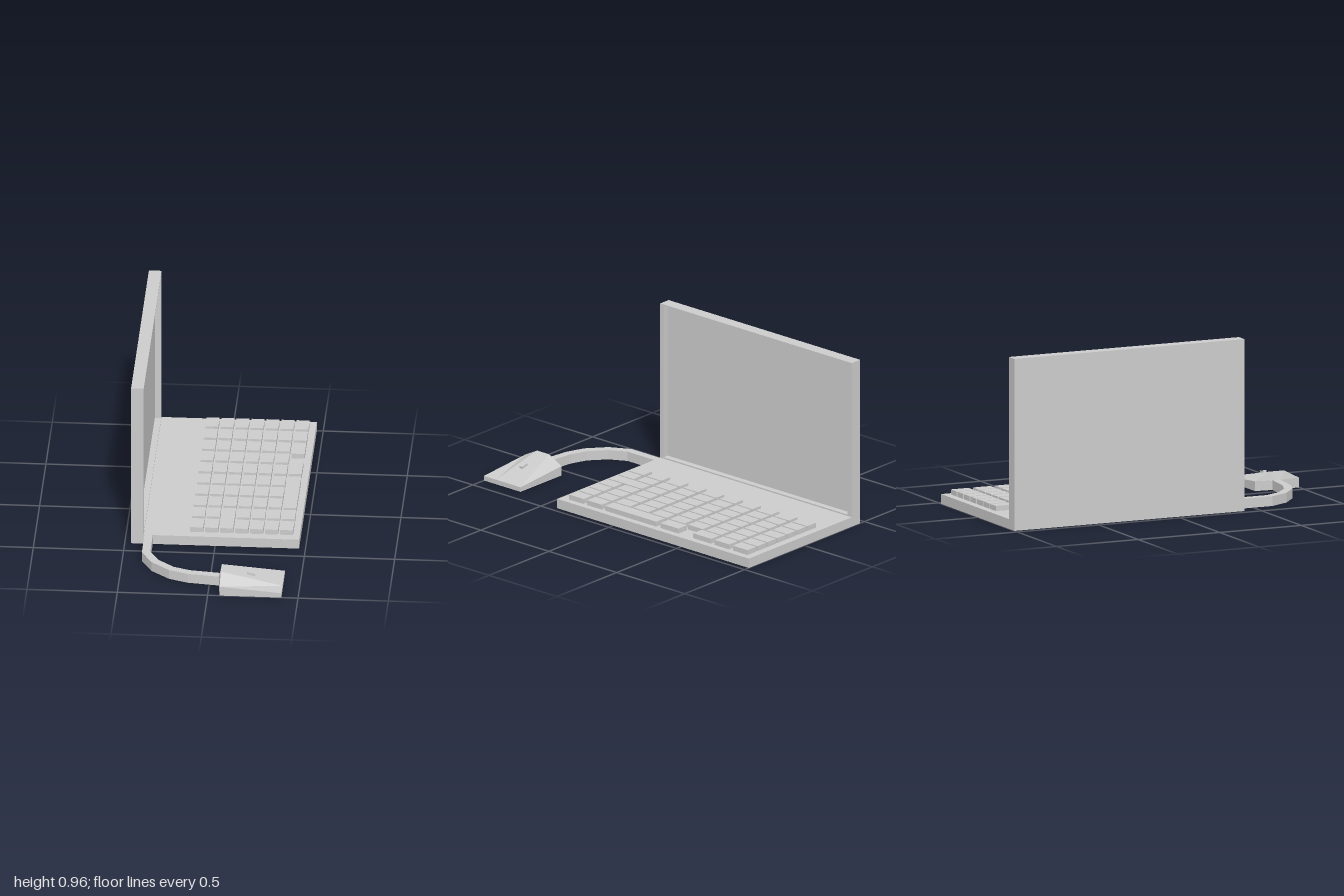
import * as THREE from 'three';

const material = new THREE.MeshStandardMaterial({ color: 0xcccccc, flatShading: true });

function add(group, name, geometry) {
  const mesh = new THREE.Mesh(geometry, material);
  mesh.name = name;
  group.add(mesh);
  return mesh;
}

// Box given by its limits on each axis
function box(group, name, x0, x1, y0, y1, z0, z1) {
  const mesh = add(group, name, new THREE.BoxGeometry(x1 - x0, y1 - y0, z1 - z0));
  mesh.position.set((x0 + x1) / 2, (y0 + y1) / 2, (z0 + z1) / 2);
  return mesh;
}

// Solid through matching closed sections; each section is a list of [x, y, z]
function loft(sections) {
  const n = sections[0].length, pos = sections.flat(2), index = [];
  for (let s = 0; s < sections.length - 1; s++) {
    for (let i = 0; i < n; i++) {
      const a = s * n + i, b = s * n + (i + 1) % n;
      index.push(a, b, a + n, b, b + n, a + n);
    }
  }
  const last = (sections.length - 1) * n;
  for (let i = 1; i < n - 1; i++) {
    index.push(0, i + 1, i, last, last + i, last + i + 1);
  }
  const g = new THREE.BufferGeometry();
  g.setAttribute('position', new THREE.Float32BufferAttribute(pos, 3));
  g.setIndex(index);
  const flat = g.toNonIndexed();
  flat.computeVertexNormals();
  return flat;
}

function rect(PathType, x0, x1, y0, y1) {
  return new PathType([[x0, y0], [x1, y0], [x1, y1], [x0, y1]].map(p => new THREE.Vector2(...p)));
}

function createKeyboard() {
  const keys = new THREE.Group();
  keys.name = 'keyboard';
  const pitchX = 0.083, pitchZ = 0.134, length = 0.108;
  const key = (col, z0, z1) => {
    const x = -0.142 + col * pitchX;
    box(keys, 'key', x, x + 0.072, 0.054, 0.084, z0, z1);
  };
  for (let row = 0; row < 10; row++) {
    const z = -0.958 + row * pitchZ;
    for (let col = 0; col < 7; col++) {
      if (col === 6 && row >= 2 && row <= 7) continue;
      if (col === 2 && row >= 8) continue;
      key(col, z, z + length);
    }
  }
  // Longer keys
  key(6, -0.69, -0.558);
  key(6, -0.45, -0.317);
  key(6, -0.286, 0.09);
  key(2, 0.114, 0.356);
  return keys;
}

function createCable() {
  const path = [[-0.368, 0.405], [-0.368, 0.612], [-0.312, 0.717], [-0.214, 0.8], [-0.116, 0.836], [0.06, 0.858]]
    .map(p => new THREE.Vector2(...p));
  const half = 0.023;
  // Mitred rectangular section at every bend
  const sections = path.map((p, i) => {
    const d0 = p.clone().sub(path[Math.max(i - 1, 0)]).normalize();
    const d1 = path[Math.min(i + 1, path.length - 1)].clone().sub(p).normalize();
    const d = d0.clone().add(d1).normalize();
    const w = half / d.dot(i ? d0 : d1);
    const sx = d.y * w, sz = -d.x * w;
    return [
      [p.x - sx, 0, p.y - sz], [p.x + sx, 0, p.y + sz],
      [p.x + sx, 0.055, p.y + sz], [p.x - sx, 0.055, p.y - sz],
    ];
  });
  return loft(sections);
}

function createMouse() {
  const mouse = new THREE.Group();
  mouse.name = 'mouse';
  const section = (x, z0, z1, z2, z3, side, top) => [
    [x, 0, z0], [x, side, z0], [x, top, z1], [x, top, z2], [x, side, z3], [x, 0, z3],
  ].reverse();
  // Cable end, humped back, then a low straight front edge
  add(mouse, 'mouseBody', loft([
    section(0.055, 0.835, 0.85, 0.88, 0.895, 0.054, 0.055),
    section(0.066, 0.73, 0.82, 0.91, 1, 0.055, 0.1025),
    section(0.408, 0.73, 0.82, 0.91, 1, 0.027, 0.0272),
  ].map(s => s.reverse())));
  const wheel = add(mouse, 'scrollWheel', new THREE.BoxGeometry(0.046, 0.024, 0.02));
  wheel.position.set(0.231, 0.067, 0.862);
  wheel.rotation.z = -0.217;
  return mouse;
}

export function createModel() {
  const model = new THREE.Group();
  model.name = 'laptopWithMouse';

  box(model, 'base', -0.395, 0.465, 0, 0.055, -1, 0.41);

  // Upright lid: back panel and a bezel around the recessed screen
  box(model, 'screenPanel', -0.465, -0.43, 0, 0.965, -1, 0.41);
  const frame = rect(THREE.Shape, -0.41, 1, 0, 0.965);
  frame.holes.push(rect(THREE.Path, -0.385, 0.97, 0.063, 0.957));
  const bezel = add(model, 'screenBezel',
    new THREE.ExtrudeGeometry(frame, { depth: 0.035, bevelEnabled: false }).rotateY(Math.PI / 2));
  bezel.position.x = -0.43;

  model.add(createKeyboard());
  add(model, 'cable', createCable());
  model.add(createMouse());
  return model;
}
